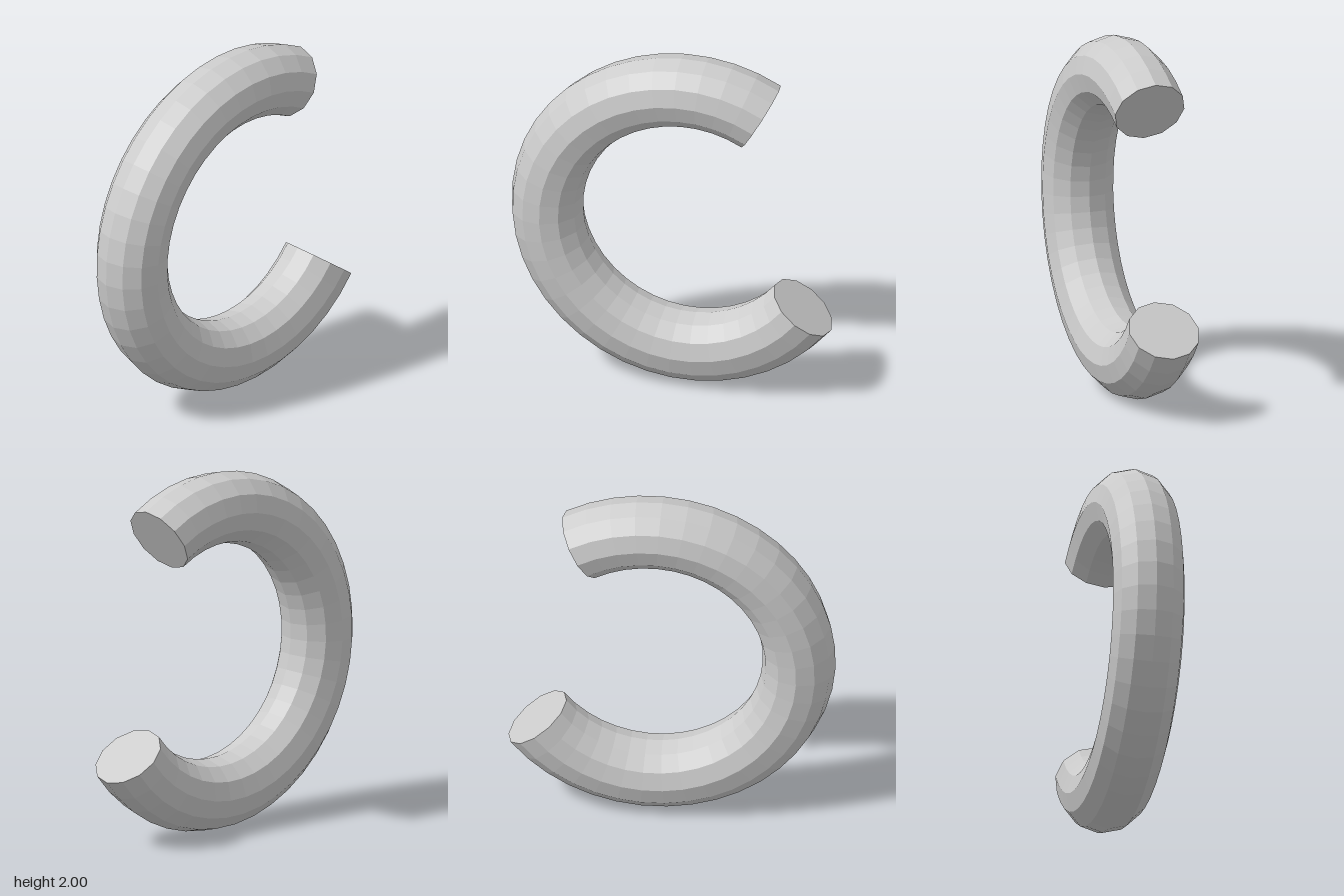
import * as THREE from 'three';

const RING = 0.8, TUBE = 0.2, SIDES = 12, STEPS = 32;
const START = THREE.MathUtils.degToRad(60);
const ARC = THREE.MathUtils.degToRad(262.6);

export function createModel() {
  const group = new THREE.Group();
  group.name = 'openRing';
  const material = new THREE.MeshStandardMaterial({ color: 0xcccccc, flatShading: true });

  // Faceted C-shaped tube, opening toward +x
  const ring = new THREE.Mesh(new THREE.TorusGeometry(RING, TUBE, SIDES, STEPS, ARC), material);
  ring.name = 'ringTube';
  ring.rotation.z = START;
  group.add(ring);

  // Flat discs closing the two cut ends
  const addCap = (name, angle, tilt) => {
    const geometry = new THREE.CircleGeometry(TUBE, SIDES)
      .rotateX(tilt)
      .translate(RING, 0, 0)
      .rotateZ(angle);
    const cap = new THREE.Mesh(geometry, material);
    cap.name = name;
    group.add(cap);
  };
  addCap('upperEndCap', START, Math.PI / 2);
  addCap('lowerEndCap', START + ARC, -Math.PI / 2);

  group.position.set(0.103, 1, 0);
  return group;
}
